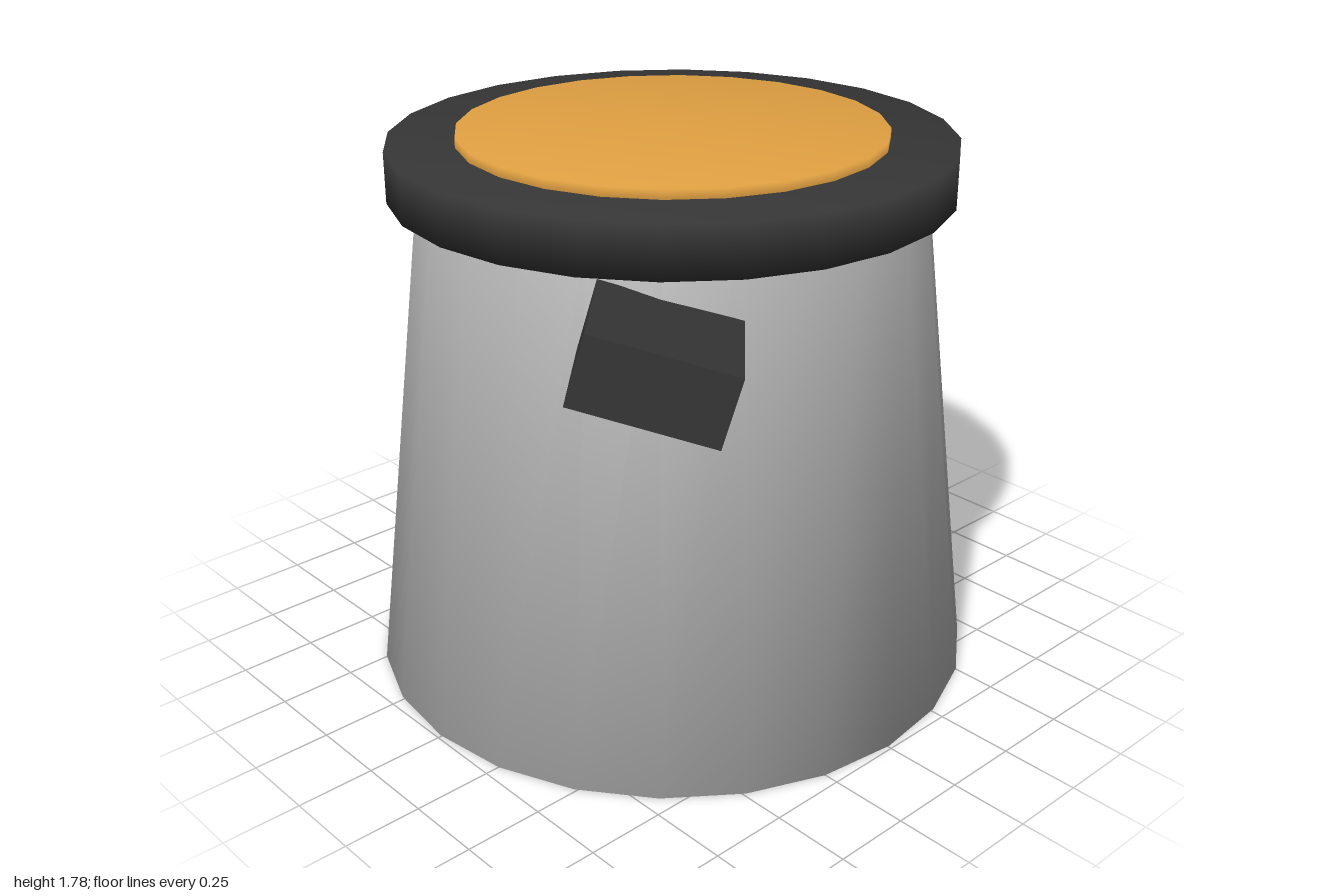
import * as THREE from 'three';
import { mergeVertices } from 'three/addons/utils/BufferGeometryUtils.js';

const SIDES = 24;

// Cylinder between two heights with normals blended across its rims
function softCylinder(rTop, rBottom, y0, y1) {
  let geo = new THREE.CylinderGeometry(rTop, rBottom, y1 - y0, SIDES);
  geo.deleteAttribute('normal');
  geo.deleteAttribute('uv');
  geo = mergeVertices(geo, 1e-4);
  geo.computeVertexNormals();
  geo.translate(0, (y0 + y1) / 2, 0);
  return geo;
}

export function createModel() {
  const model = new THREE.Group();
  model.name = 'model';

  const grey = new THREE.MeshStandardMaterial({ name: 'light grey', color: 0xb3b3b3 });
  const black = new THREE.MeshStandardMaterial({ name: 'charcoal', color: 0x363636 });
  const amber = new THREE.MeshStandardMaterial({ name: 'amber', color: 0xe2a142 });

  const add = (name, geo, mat, x, y, z) => {
    const mesh = new THREE.Mesh(geo, mat);
    mesh.name = name;
    mesh.position.set(x, y, z);
    model.add(mesh);
    return mesh;
  };

  // Tapered body, dark rim and the amber disc on top share one axis
  const c = -0.006;
  add('body', softCylinder(0.79, 0.993, 0, 1.67), grey, c, 0, c);
  add('rim', softCylinder(0.887, 0.887, 1.59, 1.75), black, c, 0, c);
  add('topDisc', softCylinder(0.672, 0.672, 1.70, 1.78), amber, c, 0, c);

  // Block sticking out of the front left, tilted sideways
  const block = add('sideBlock', new THREE.BoxGeometry(0.42, 0.21, 0.4), black, 0.693, 1.403, 0.695);
  block.rotation.set(0, Math.PI / 4, -0.28);

  return model;
}
